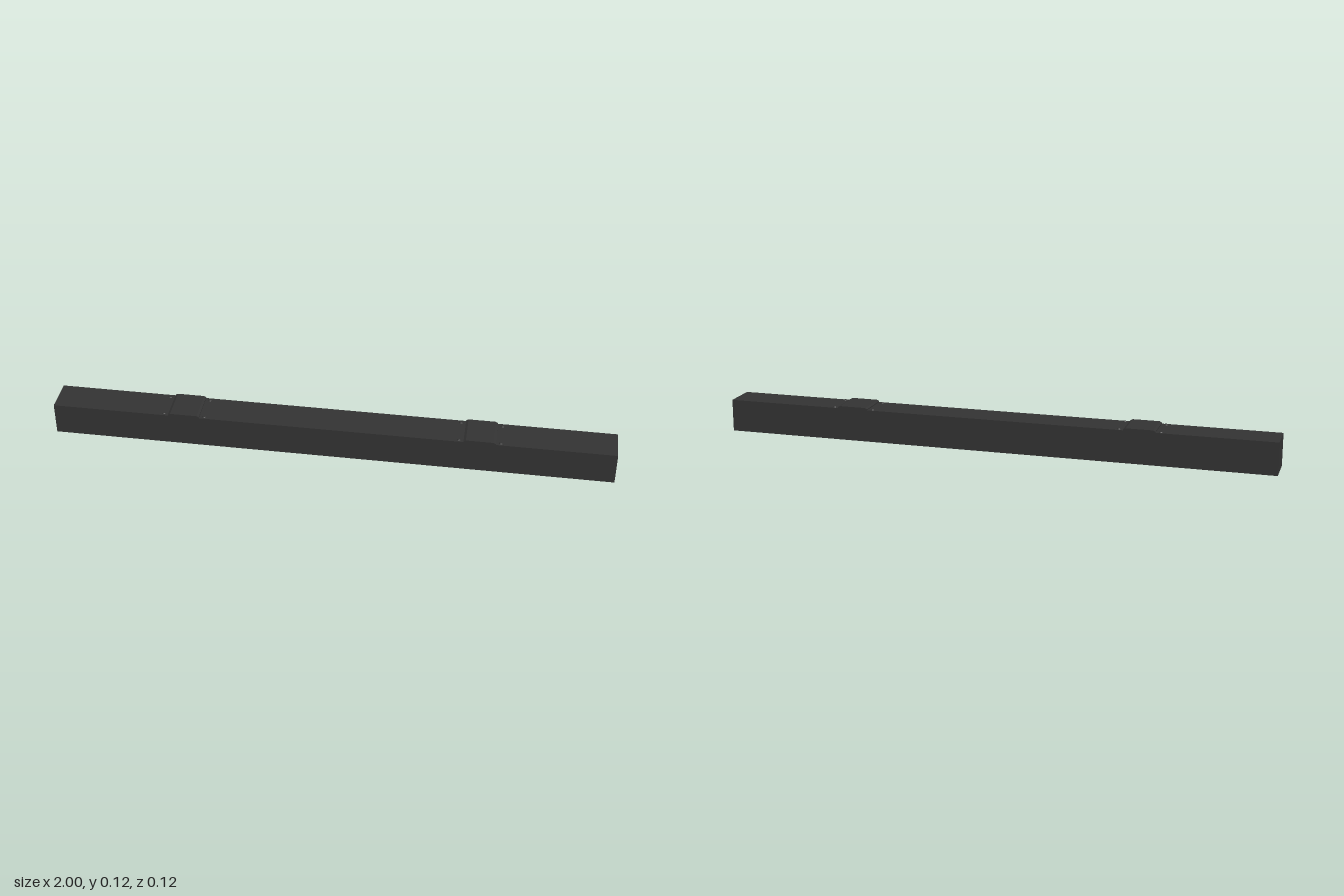
import * as THREE from 'three';

export function createModel() {
  const model = new THREE.Group();
  const material = new THREE.MeshStandardMaterial({ color: 0x333333 });
  const depth = 0.124, beamTop = 0.117, padTop = 0.125;

  const add = (parent, name, geometry, x, y, z) => {
    const mesh = new THREE.Mesh(geometry, material);
    mesh.name = name;
    mesh.position.set(x, y, z);
    parent.add(mesh);
  };

  // Long square beam
  add(model, 'beam', new THREE.BoxGeometry(2, beamTop, depth), 0, beamTop / 2, 0);

  // Chamfered raised pad, extruded across the beam
  const h = padTop - beamTop;
  const profile = new THREE.Shape([
    [-0.056, 0], [0.056, 0], [0.056, h * 0.45], [0.048, h], [-0.048, h], [-0.056, h * 0.45],
  ].map(([x, y]) => new THREE.Vector2(x, y)));
  const padGeometry = new THREE.ExtrudeGeometry(profile, { depth, bevelEnabled: false });
  padGeometry.translate(0, 0, -depth / 2);

  // Small fastener heads beside each corner of a pad
  const headGeometry = new THREE.CylinderGeometry(0.005, 0.007, 0.003, 10);

  for (const side of [-1, 1]) {
    const mount = new THREE.Group();
    mount.name = side > 0 ? 'leftMount' : 'rightMount';
    mount.position.set(side * 0.525, beamTop, 0);
    add(mount, 'pad', padGeometry, 0, 0, 0);
    for (const x of [-0.073, 0.073]) {
      for (const z of [-0.05, 0.05]) add(mount, 'fastener', headGeometry, x, 0.0015, z);
    }
    model.add(mount);
  }
  return model;
}
